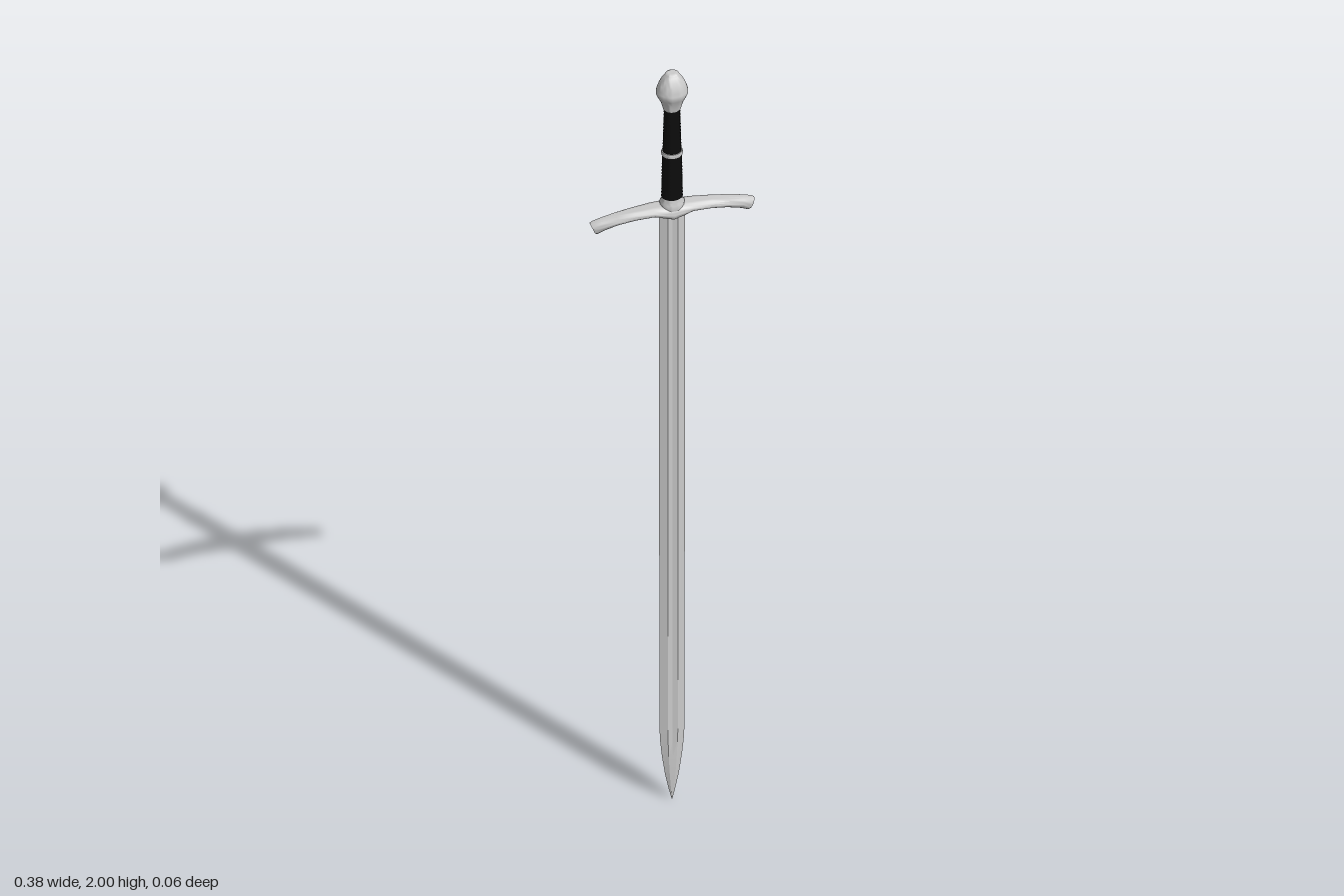
import * as THREE from 'three';
import { toCreasedNormals } from 'three/addons/utils/BufferGeometryUtils.js';

const steel = new THREE.MeshStandardMaterial({ color: 0xcbcbcb });
steel.name = 'steel';
const leather = new THREE.MeshStandardMaterial({ color: 0x0c0c0c });
leather.name = 'black leather';

// Skins a row of equal-length rings ([x, y, z] points) and closes both ends.
function loft(rings, crease) {
  const n = rings[0].length;
  const pos = rings.flat(2);
  const index = [];
  for (let i = 0; i < rings.length - 1; i++) {
    for (let j = 0; j < n; j++) {
      const a = i * n + j, b = i * n + (j + 1) % n;
      index.push(a, b, b + n, a, b + n, a + n);
    }
  }
  [0, rings.length - 1].forEach((r, end) => {
    const c = pos.length / 3;
    for (let k = 0; k < 3; k++) pos.push(rings[r].reduce((s, p) => s + p[k], 0) / n);
    for (let j = 0; j < n; j++) {
      const a = r * n + j, b = r * n + (j + 1) % n;
      if (end) index.push(c, a, b);
      else index.push(c, b, a);
    }
  });
  const g = new THREE.BufferGeometry();
  g.setAttribute('position', new THREE.Float32BufferAttribute(pos, 3));
  g.setIndex(index);
  return toCreasedNormals(g, crease);
}

function turned(points, crease = 0.7) {
  const g = new THREE.LatheGeometry(points.map(([r, y]) => new THREE.Vector2(r, y)), 32);
  g.scale(1, 1, 0.9);
  return toCreasedNormals(g, crease);
}

export function createModel() {
  const model = new THREE.Group();
  const add = (name, geometry, material) => {
    const m = new THREE.Mesh(geometry, material);
    m.name = name;
    model.add(m);
  };

  // Blade: bevelled edges and a shallow fuller; rows are [y, half width, half thickness]
  const rows = [[0, 0.0008, 0.0006], [0.03, 0.008, 0.003], [0.07, 0.016, 0.005],
    [0.12, 0.023, 0.0065], [0.16, 0.027, 0.007], [0.2, 0.029, 0.007], [1.62, 0.03, 0.008]];
  add('blade', loft(rows.map(([y, w, t]) => {
    const r = w * 0.4, f = y < 0.15 ? t : t * 0.65;
    return [[0, f], [r, t], [w, 0], [r, -t], [0, -f], [-r, -t], [-w, 0], [-r, t]]
      .map(([x, z]) => [x, y, z]);
  }), 0.1), steel);

  // Crossguard: drooping arms that narrow in depth and flare at slanted ends;
  // rows are [x at top, top y, x at bottom, bottom y, half depth]
  const arm = [[0, 1.643, 0, 1.6, 0.027], [0.02, 1.642, 0.02, 1.607, 0.026],
    [0.045, 1.64, 0.044, 1.617, 0.024], [0.09, 1.637, 0.087, 1.614, 0.02],
    [0.13, 1.633, 0.125, 1.607, 0.017], [0.165, 1.627, 0.157, 1.597, 0.014],
    [0.184, 1.622, 0.172, 1.59, 0.013], [0.189, 1.619, 0.177, 1.591, 0.011]];
  const mirrored = arm.slice(1).reverse().map(([a, b, c, d, e]) => [-a, b, -c, d, e]);
  add('crossguard', loft([...mirrored, ...arm].map(([xt, yt, xb, yb, d]) =>
    Array.from({ length: 20 }, (_, j) => {
      const a = j / 20 * Math.PI * 2, k = (1 + Math.cos(a)) / 2;
      return [xb + (xt - xb) * k, yb + (yt - yb) * k, d * Math.sin(a)];
    })), 0.8), steel);

  add('guardCollar', turned([[0, 1.63], [0.027, 1.632], [0.028, 1.646], [0.024, 1.652],
    [0.024, 1.66], [0, 1.66]]), steel);

  // Wrapped grip in two sections, each with fine cord ridges
  const wrap = (y0, y1, r0, r1, turns) => {
    const pts = [[0, y0]];
    for (let i = 0; i <= turns * 2; i++) {
      const t = i / (turns * 2);
      pts.push([r0 + (r1 - r0) * t - (i % 2 ? 0 : 0.0015), y0 + (y1 - y0) * t]);
    }
    pts.push([0, y1]);
    return turned(pts, 1);
  };
  add('lowerGrip', wrap(1.657, 1.778, 0.0245, 0.0225, 14), leather);
  add('upperGrip', wrap(1.782, 1.905, 0.0215, 0.0185, 14), leather);

  // Ring between the two grip sections
  add('gripRing', turned([[0, 1.775], [0.0235, 1.775], [0.025, 1.78], [0.0235, 1.785],
    [0, 1.785]], 1), steel);

  // Pommel: flared neck, wide belly and a domed cap with a button
  add('pommel', turned([[0, 1.9], [0.02, 1.9], [0.022, 1.908], [0.025, 1.92], [0.032, 1.934],
    [0.036, 1.943], [0.036, 1.951], [0.034, 1.959], [0.03, 1.97], [0.024, 1.982],
    [0.017, 1.992], [0.015, 1.996], [0.009, 1.999], [0, 2]]), steel);

  return model;
}
